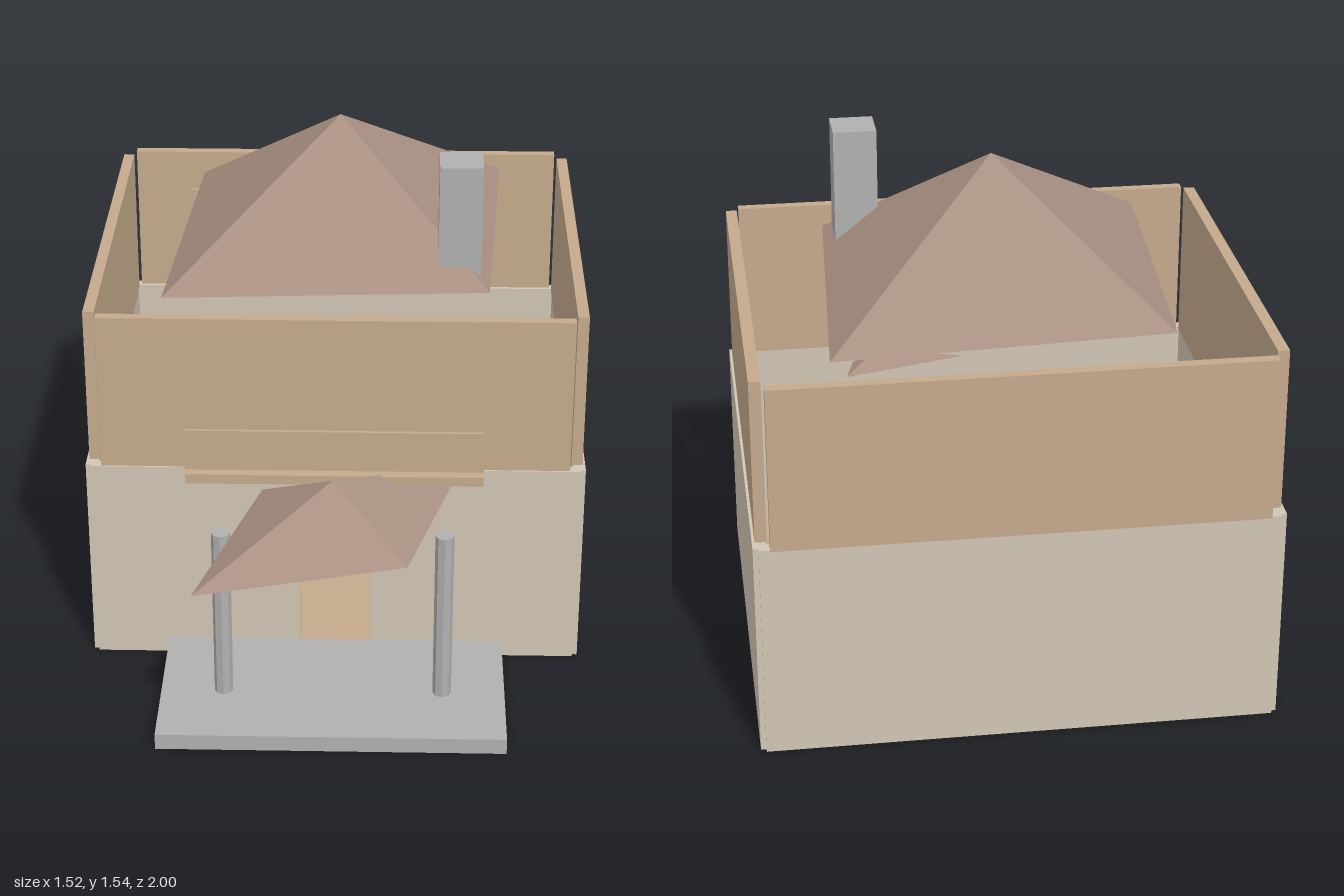
import * as THREE from 'three';

const material = (name, color) => {
  const m = new THREE.MeshStandardMaterial({ color });
  m.name = name;
  return m;
};

export function createModel() {
  const house = new THREE.Group();
  house.name = 'house';
  const tan = material('tan plaster', 0xc4aa8c);
  const beige = material('beige stone', 0xd2c6b5);
  const brown = material('brown roof', 0xa88f81);
  const grey = material('grey stone', 0xb0b0b0);

  const add = (name, geometry, mat) => {
    const mesh = new THREE.Mesh(geometry, mat);
    mesh.name = name;
    house.add(mesh);
    return mesh;
  };
  // Box given by its extents on each axis
  const box = (name, mat, [x0, x1], [y0, y1], [z0, z1]) => {
    const g = new THREE.BoxGeometry(x1 - x0, y1 - y0, z1 - z0);
    g.translate((x0 + x1) / 2, (y0 + y1) / 2, (z0 + z1) / 2);
    return add(name, g, mat);
  };
  // Skewed pyramid: corners run front left, front right, back right, back left
  const pyramid = (name, mat, corners, baseY, apex) => {
    const c = corners.map(([x, z]) => [x, baseY, z]);
    const p = [];
    for (let i = 0; i < 4; i++) p.push(...c[i], ...c[(i + 1) % 4], ...apex);
    p.push(...c[0], ...c[3], ...c[2], ...c[0], ...c[2], ...c[1]);
    const g = new THREE.BufferGeometry();
    g.setAttribute('position', new THREE.Float32BufferAttribute(p, 3));
    g.computeVertexNormals();
    return add(name, g, mat);
  };

  // Ground floor
  box('groundFloor', tan, [-0.735, 0.735], [0.005, 0.02], [-0.97, 0.335]);
  box('lowerBackWall', beige, [-0.742, 0.742], [0, 0.66], [-0.99, -0.955]);

  // Lower front wall with its doorway
  const wall = new THREE.Shape();
  wall.moveTo(-0.742, 0);
  wall.lineTo(-0.11, 0);
  wall.lineTo(-0.11, 0.38);
  wall.lineTo(0.11, 0.38);
  wall.lineTo(0.11, 0);
  wall.lineTo(0.742, 0);
  wall.lineTo(0.742, 0.66);
  wall.lineTo(-0.742, 0.66);
  const front = new THREE.ExtrudeGeometry(wall, { depth: 0.035, bevelEnabled: false });
  front.translate(0, 0, 0.32);
  add('lowerFrontWall', front, beige);

  // Upper front and back walls
  box('upperFrontWall', tan, [-0.71, 0.71], [0.66, 1.155], [0.318, 0.35]);
  box('upperBackWall', tan, [-0.71, 0.71], [0.66, 1.155], [-1, -0.967]);

  // Side walls, porch columns and lower back windows in mirrored pairs
  for (const s of [-1, 1]) {
    const side = s > 0 ? 'left' : 'right';
    const span = (a, b) => (s > 0 ? [a, b] : [-b, -a]);
    box(side + 'LowerWall', beige, span(0.72, 0.758), [0, 0.66], [-0.977, 0.344]);
    box(side + 'UpperWall', tan, span(0.716, 0.75), [0.66, 1.155], [-0.94, 0.31]);
    const column = add(side + 'Column', new THREE.CylinderGeometry(0.028, 0.028, 0.55, 8).toNonIndexed(), grey);
    column.geometry.computeVertexNormals();
    column.position.set(s * 0.33, 0.325, 0.64);
    box(side + 'LowerWindow', grey, span(0.07, 0.28), [0.215, 0.4], [-0.955, -0.947]);
    box(side + 'LowerSill', tan, span(0.055, 0.295), [0.2, 0.215], [-0.955, -0.935]);
  }

  // Upper back windows: frame with a pane on its inner face
  for (const x of [-0.415, 0, 0.415]) {
    box('upperWindowFrame', tan, [x - 0.115, x + 0.115], [0.825, 1.02], [-0.967, -0.956]);
    box('upperWindowPane', grey, [x - 0.1, x + 0.1], [0.84, 1.005], [-0.956, -0.952]);
  }

  // Small interior fittings
  box('sideShelf', tan, [0.65, 0.72], [0.2, 0.22], [-0.43, -0.2]);
  box('cornerBox', tan, [-0.705, -0.615], [0.02, 0.1], [0.21, 0.3]);

  // Main roof and chimney
  pyramid('mainRoof', brown,
    [[-0.525, 0.205], [0.46, 0.145], [0.52, -0.845], [-0.465, -0.785]], 1.155, [0, 1.545, -0.32]);
  box('chimney', grey, [0.305, 0.435], [1.15, 1.53], [-0.05, 0.08]);

  // Porch
  box('porchSlab', grey, [-0.52, 0.52], [0, 0.05], [0.354, 0.885]);
  pyramid('porchRoof', brown,
    [[-0.39, 0.995], [0.22, 0.825], [0.39, 0.21], [-0.22, 0.38]], 0.6, [0, 0.76, 0.605]);

  // Balcony
  box('balconyFloor', tan, [-0.445, 0.445], [0.672, 0.702], [0.35, 0.475]);
  box('balconyRail', tan, [-0.445, 0.445], [0.72, 0.85], [0.465, 0.475]);

  return house;
}
